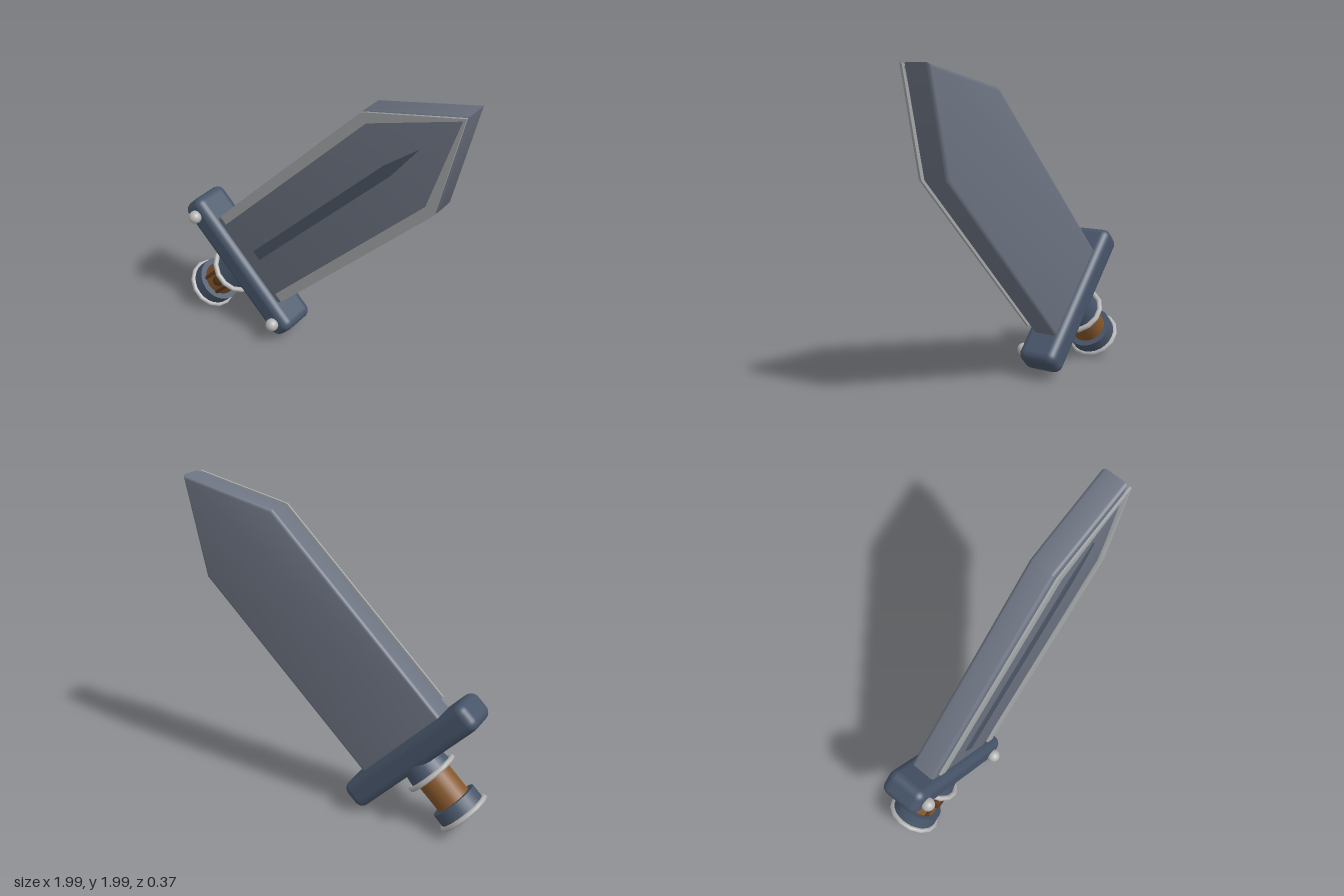
import * as THREE from 'three';
import { toCreasedNormals } from 'three/addons/utils/BufferGeometryUtils.js';
import { RoundedBoxGeometry } from 'three/addons/geometries/RoundedBoxGeometry.js';

const paint = (color) => new THREE.MeshStandardMaterial({ color });
const steel = paint(0x6b7280), darkSteel = paint(0x475569), fullerSteel = paint(0x4b5563);
const edgeSteel = paint(0xa3a6a8), silver = paint(0xb4b4b4);
const wood = paint(0x85562a), darkWood = paint(0x5a3a20);

function add(parent, name, geometry, material, x = 0, y = 0, z = 0) {
  const mesh = new THREE.Mesh(geometry, material);
  mesh.name = name;
  mesh.position.set(x, y, z);
  parent.add(mesh);
  return mesh;
}

// Flat plate cut from an outline, with an optional rounded rim inside the outline
function plate(points, depth, bevel = 0) {
  const shape = new THREE.Shape(points.map(([x, y]) => new THREE.Vector2(x, y)));
  const geometry = new THREE.ExtrudeGeometry(shape, {
    depth: depth - 2 * bevel,
    bevelEnabled: bevel > 0,
    bevelThickness: bevel,
    bevelSize: bevel,
    bevelOffset: -bevel,
    bevelSegments: 4,
  });
  geometry.translate(0, 0, bevel);
  return toCreasedNormals(geometry, 0.6);
}

export function createModel() {
  const model = new THREE.Group();
  model.name = 'sword';

  // The sword is built upright along y, then tilted as a whole
  const sword = new THREE.Group();
  sword.name = 'tiltedSword';
  sword.rotation.z = -Math.PI / 4;
  sword.position.set(-0.505, 0.505, 0);
  model.add(sword);

  // Blade
  const outline = [[-0.34, 0.02], [0.34, 0.02], [0.34, 1.577], [0, 2.117], [-0.34, 1.577]];
  add(sword, 'blade', plate(outline, 0.17, 0.024), steel, 0, 0, -0.1);
  const groove = [[-0.034, 0.15], [0.034, 0.15], [0.034, 1.47], [0, 1.74], [-0.034, 1.47]];
  add(sword, 'fuller', plate(groove, 0.014), fullerSteel, 0, 0, 0.067);

  // Sharpened edge strips, just in front of the blade
  for (const side of [-1, 1]) {
    const strip = [[0.275, 0.1], [0.338, 0.1], [0.338, 1.577], [0, 2.112], [0, 2.085], [0.275, 1.56]];
    add(sword, 'cuttingEdge', plate(strip.map(([x, y]) => [side * x, y]), 0.015), edgeSteel, 0, 0, 0.081);
  }

  // Cross guard with a stud at each end
  add(sword, 'guard', new RoundedBoxGeometry(1.052, 0.18, 0.27, 5, 0.055), darkSteel, 0, -0.055, -0.01);
  for (const side of [-1, 1]) {
    add(sword, 'guardStud', new THREE.SphereGeometry(0.043, 20, 14), silver, side * 0.431, -0.055, 0.143);
  }

  // Grip and fittings
  const hilt = new THREE.Group();
  hilt.name = 'hilt';
  hilt.position.z = -0.015;
  sword.add(hilt);
  add(hilt, 'grip', new THREE.CylinderGeometry(0.112, 0.112, 0.32, 24), wood, 0, -0.34, 0);
  add(hilt, 'collar', new THREE.CylinderGeometry(0.125, 0.14, 0.12, 24), darkSteel, 0, -0.16, 0);
  add(hilt, 'pommelBand', new THREE.CylinderGeometry(0.15, 0.15, 0.09, 24), darkSteel, 0, -0.47, 0);
  add(hilt, 'pommelPlug', new THREE.CylinderGeometry(0.13, 0.13, 0.03, 24), darkWood, 0, -0.523, 0);
  for (const y of [-0.218, -0.523]) {
    const ring = add(hilt, 'ring', new THREE.TorusGeometry(0.156, 0.017, 10, 14), silver, 0, y, 0);
    ring.rotation.x = Math.PI / 2;
  }

  // Raised strips and an oval stud on the front of the grip
  for (const side of [-1, 1]) {
    const angle = side * 0.55;
    const strip = add(hilt, 'gripStrip', new THREE.BoxGeometry(0.022, 0.2, 0.02), darkWood,
      Math.sin(angle) * 0.11, -0.325, Math.cos(angle) * 0.11);
    strip.rotation.y = angle;
  }
  const stud = add(hilt, 'gripStud', new THREE.SphereGeometry(0.05, 20, 12), darkWood, 0, -0.315, 0.108);
  stud.scale.set(0.75, 1.1, 0.4);

  return model;
}
